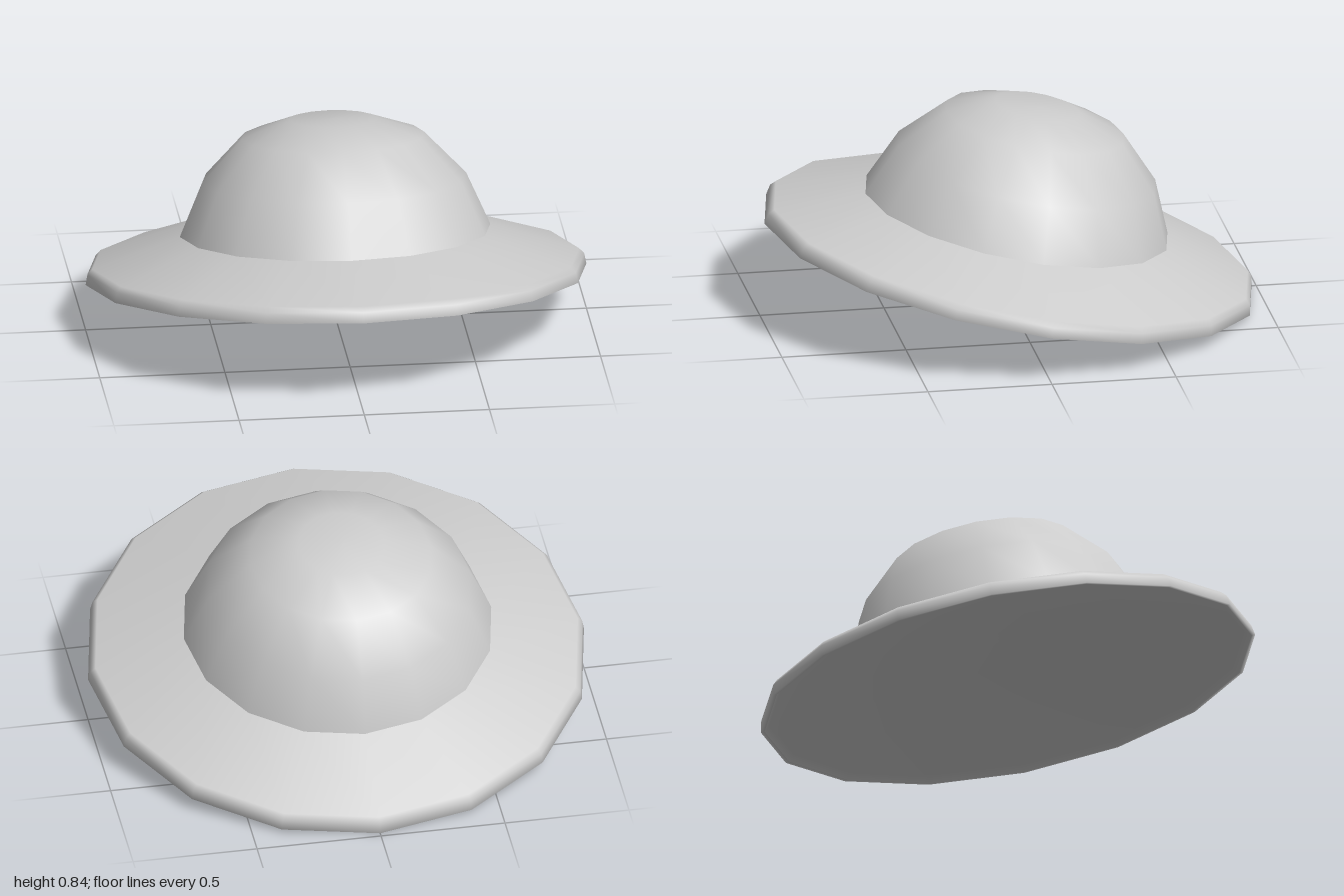
import * as THREE from 'three';

export function createModel() {
  const model = new THREE.Group();
  const material = new THREE.MeshStandardMaterial({ color: 0xcccccc, side: THREE.DoubleSide });
  const hat = new THREE.Group();
  hat.name = 'hat';

  // Turns a [radius, height] profile into a sixteen-sided part of the hat
  function addLathe(name, points) {
    const profile = points.map(([r, y]) => new THREE.Vector2(r, y));
    const mesh = new THREE.Mesh(new THREE.LatheGeometry(profile, 16), material);
    mesh.name = name;
    hat.add(mesh);
  }

  // Shallow vault under the brim
  addLathe('underside', [[0, 0.185], [0.3, 0.175], [0.6, 0.13], [0.96, 0.022], [0.985, 0]]);

  // Lip, rounded rim and sloping top of the brim
  addLathe('brim', [[0.985, 0], [1, 0], [0.992, 0.042], [0.972, 0.063], [0.62, 0.178]]);

  // Domed crown with a flat top, meeting the brim at a sharp crease
  addLathe('crown', [[0.62, 0.178], [0.528, 0.39], [0.364, 0.562], [0.172, 0.63], [0, 0.633]]);

  // Tip the hat back so its rear rim rests on the ground
  const tilt = THREE.MathUtils.degToRad(11.1);
  hat.rotation.x = -tilt;
  hat.position.y = Math.sin(tilt);
  model.add(hat);
  return model;
}
